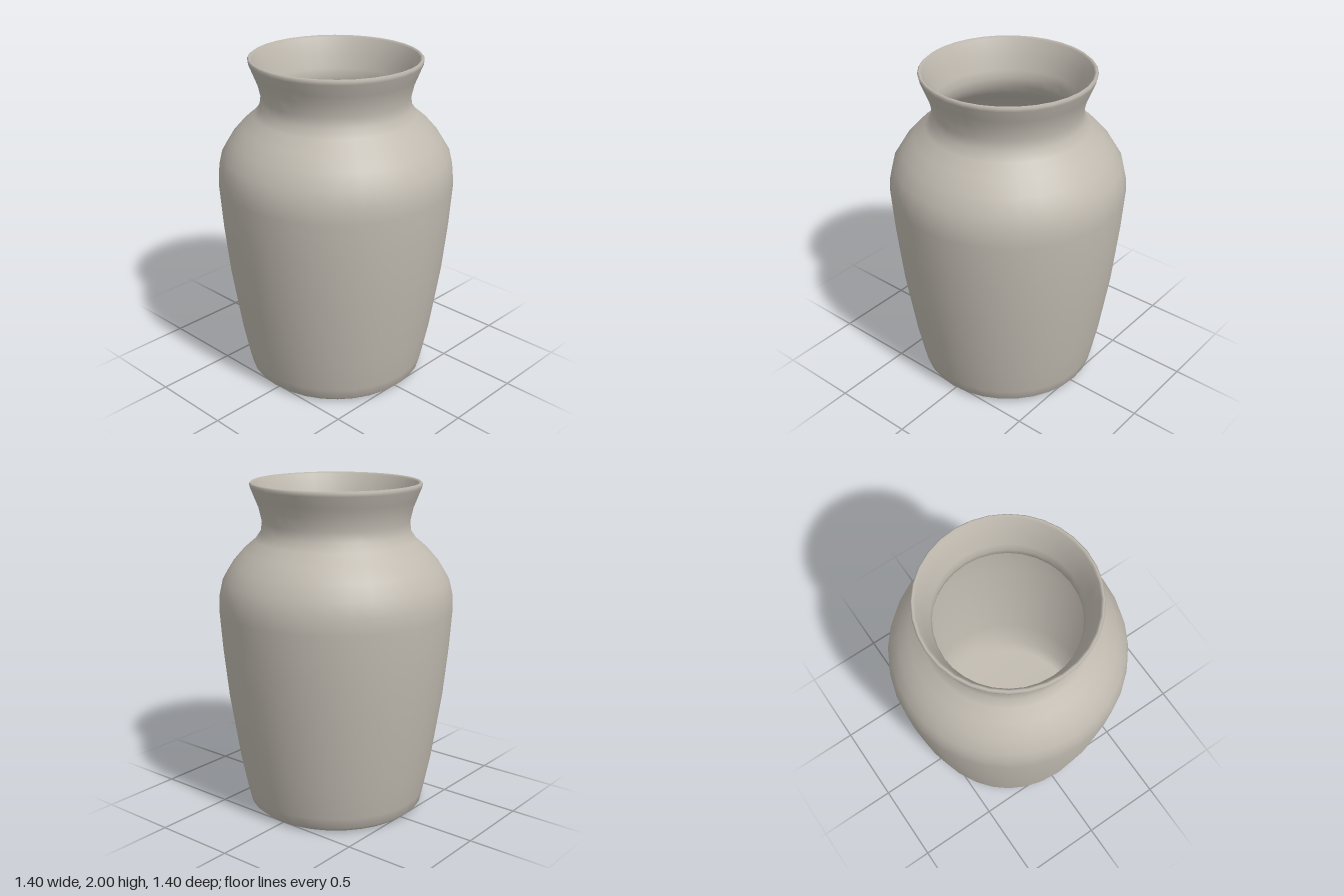
import * as THREE from 'three';

const SEGMENTS = 32;

// Smoothly turned surface from a list of [radius, height] points
function turned(name, profile, material) {
  const points = profile.map(([r, y]) => new THREE.Vector2(r, y));
  const mesh = new THREE.Mesh(new THREE.LatheGeometry(points, SEGMENTS), material);
  mesh.name = name;
  return mesh;
}

export function createModel() {
  const group = new THREE.Group();
  group.name = 'vase';
  const clay = new THREE.MeshStandardMaterial({ color: 0xc0bab0 });
  clay.name = 'warm grey clay';

  // Recessed base, tapering body, rounded shoulder, flared neck and rolled lip,
  // then the hollow inside down to the floor
  const profile = [
    [0, 0.04], [0.36, 0.04], [0.42, 0.015], [0.47, 0.004], [0.51, 0.008], [0.54, 0.035],
    [0.555, 0.1], [0.595, 0.3], [0.655, 0.7], [0.685, 1.0], [0.702, 1.25],
    [0.696, 1.34], [0.675, 1.43], [0.62, 1.52], [0.55, 1.6], [0.48, 1.66],
    [0.445, 1.71], [0.437, 1.77], [0.455, 1.85], [0.475, 1.9], [0.503, 1.97],
    [0.507, 1.99], [0.497, 2.0], [0.482, 1.99], [0.45, 1.9], [0.42, 1.81], [0.41, 1.76],
    [0.42, 1.7], [0.46, 1.64], [0.53, 1.57], [0.6, 1.49], [0.65, 1.41], [0.672, 1.25],
    [0.655, 1.0], [0.625, 0.7], [0.565, 0.3], [0.52, 0.1], [0.46, 0.07], [0, 0.07],
  ];
  group.add(turned('vaseBody', profile, clay));
  return group;
}
